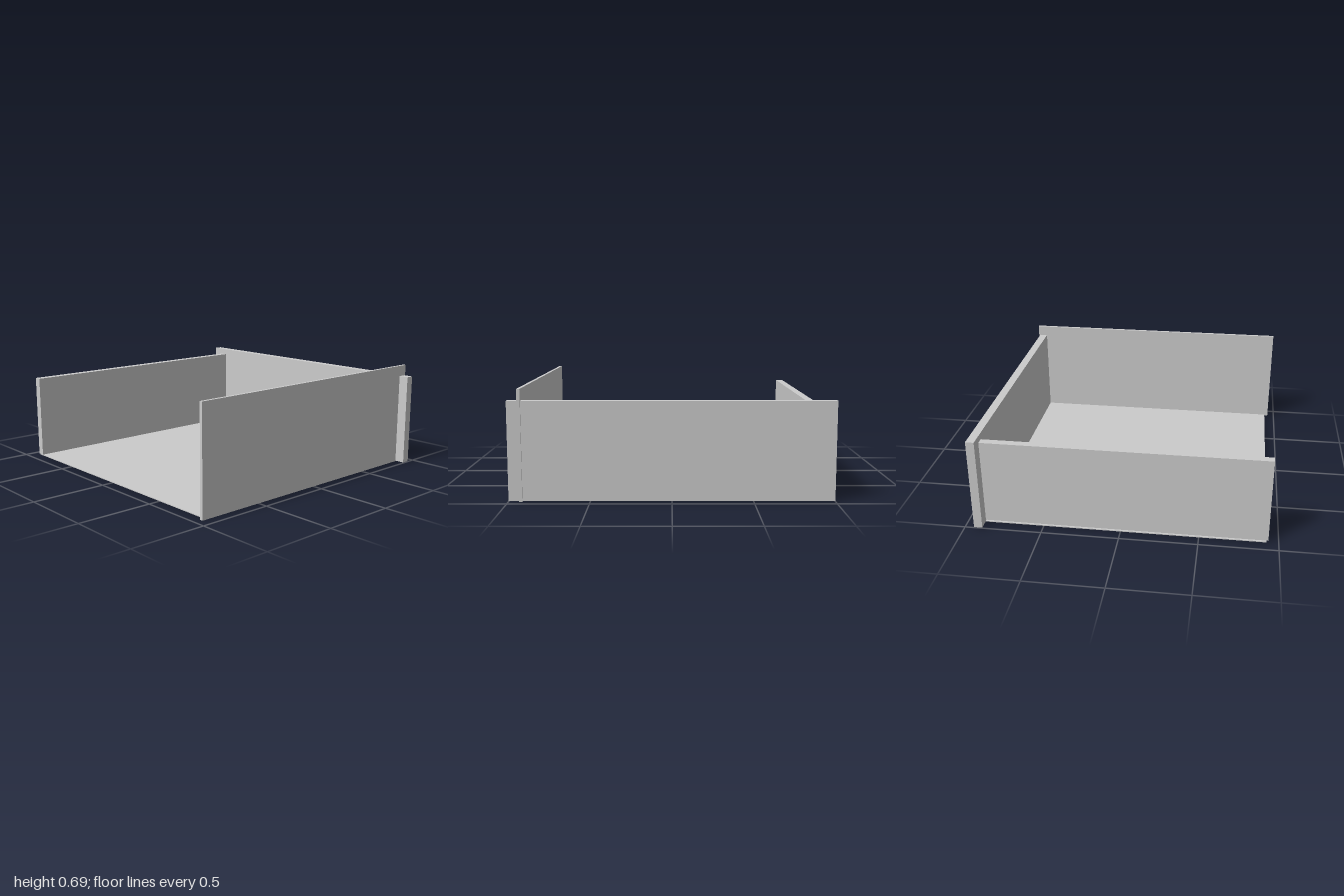
import * as THREE from 'three';

const material = new THREE.MeshStandardMaterial({ color: 0xcccccc });

// Box panel given by its [min, max] range on each axis
function panel(name, [x0, x1], [y0, y1], [z0, z1]) {
  const geometry = new THREE.BoxGeometry(x1 - x0, y1 - y0, z1 - z0);
  const mesh = new THREE.Mesh(geometry, material);
  mesh.position.set((x0 + x1) / 2, (y0 + y1) / 2, (z0 + z1) / 2);
  mesh.name = name;
  return mesh;
}

export function createModel() {
  const group = new THREE.Group();
  group.name = 'openTray';
  group.add(
    // thin square base
    panel('floor', [-0.925, 0.925], [0.002, 0.008], [-0.925, 0.925]),
    // wide back panel overhanging both sides
    panel('backWall', [-1, 1], [0.004, 0.62], [-0.94, -0.885]),
    // thick low side
    panel('rightWall', [-0.92, -0.87], [0.013, 0.578], [-0.885, 0.935]),
    // thin tall side passing through the back panel
    panel('leftWall', [0.914, 0.934], [0, 0.693], [-0.95, 0.95]),
  );
  return group;
}
